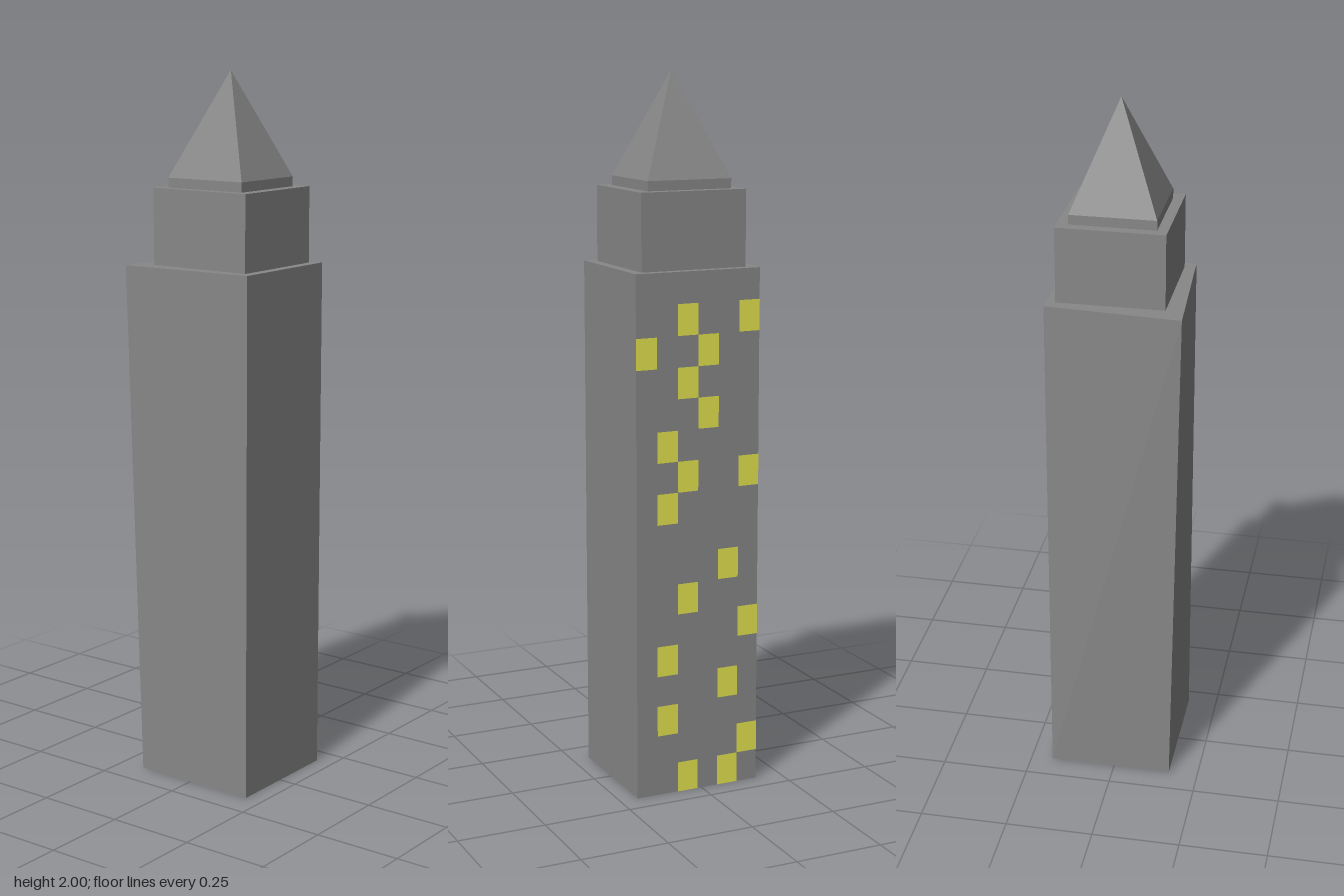
import * as THREE from 'three';

const stone = new THREE.MeshStandardMaterial({ color: 0x888888, flatShading: true });
const glow = new THREE.MeshStandardMaterial({ color: 0xe6e650 });

const SHAFT = { x0: -0.165, x1: 0.187, z0: -0.173, z1: 0.198, y0: 0, y1: 1.472 };
const BELFRY = { x0: -0.136, x1: 0.162, z0: -0.142, z1: 0.17, y0: 1.472, y1: 1.684 };
const PLINTH = { x0: -0.107, x1: 0.13, z0: -0.113, z1: 0.136, y0: 1.684, y1: 1.711 };

// Box spanning the given extents
function block(name, b) {
  const geo = new THREE.BoxGeometry(b.x1 - b.x0, b.y1 - b.y0, b.z1 - b.z0);
  geo.translate((b.x0 + b.x1) / 2, (b.y0 + b.y1) / 2, (b.z0 + b.z1) / 2);
  const mesh = new THREE.Mesh(geo, stone);
  mesh.name = name;
  return mesh;
}

export function createModel() {
  const tower = new THREE.Group();
  tower.name = 'tower';

  // Shaft: the top back corner on the -x side leans outwards
  const shaft = block('shaft', SHAFT);
  const pos = shaft.geometry.attributes.position;
  for (let i = 0; i < pos.count; i++) {
    if (pos.getX(i) < 0 && pos.getZ(i) < 0 && pos.getY(i) > 1) pos.setXYZ(i, -0.189, SHAFT.y1, -0.199);
  }
  shaft.geometry.computeVertexNormals();
  tower.add(shaft, block('upperStage', BELFRY), block('spireBase', PLINTH));

  // Four-sided spire
  const spireGeo = new THREE.ConeGeometry(Math.SQRT1_2, 2 - PLINTH.y1, 4);
  spireGeo.rotateY(Math.PI / 4);
  spireGeo.scale(PLINTH.x1 - PLINTH.x0, 1, PLINTH.z1 - PLINTH.z0);
  const spire = new THREE.Mesh(spireGeo, stone);
  spire.position.set((PLINTH.x0 + PLINTH.x1) / 2, (2 + PLINTH.y1) / 2, (PLINTH.z0 + PLINTH.z1) / 2);
  spire.name = 'spire';
  tower.add(spire);

  // Lit windows on the +x side: columns lit in each row, from the ground up
  const rows = [[2, 4], [5], [1], [4], [1], [5], [2], [4], [], [1], [2, 5], [1], [3], [2], [0, 3], [2, 5], []];
  const w = (SHAFT.z1 - SHAFT.z0) / 6;
  const h = SHAFT.y1 / rows.length;
  const paneGeo = new THREE.PlaneGeometry(w, h).rotateY(Math.PI / 2);
  const windows = new THREE.Group();
  windows.name = 'litWindows';
  rows.forEach((columns, row) => columns.forEach((col) => {
    const pane = new THREE.Mesh(paneGeo, glow);
    pane.position.set(SHAFT.x1 + 0.001, (row + 0.5) * h, SHAFT.z1 - (col + 0.5) * w);
    pane.name = 'window';
    windows.add(pane);
  }));
  tower.add(windows);

  return tower;
}
